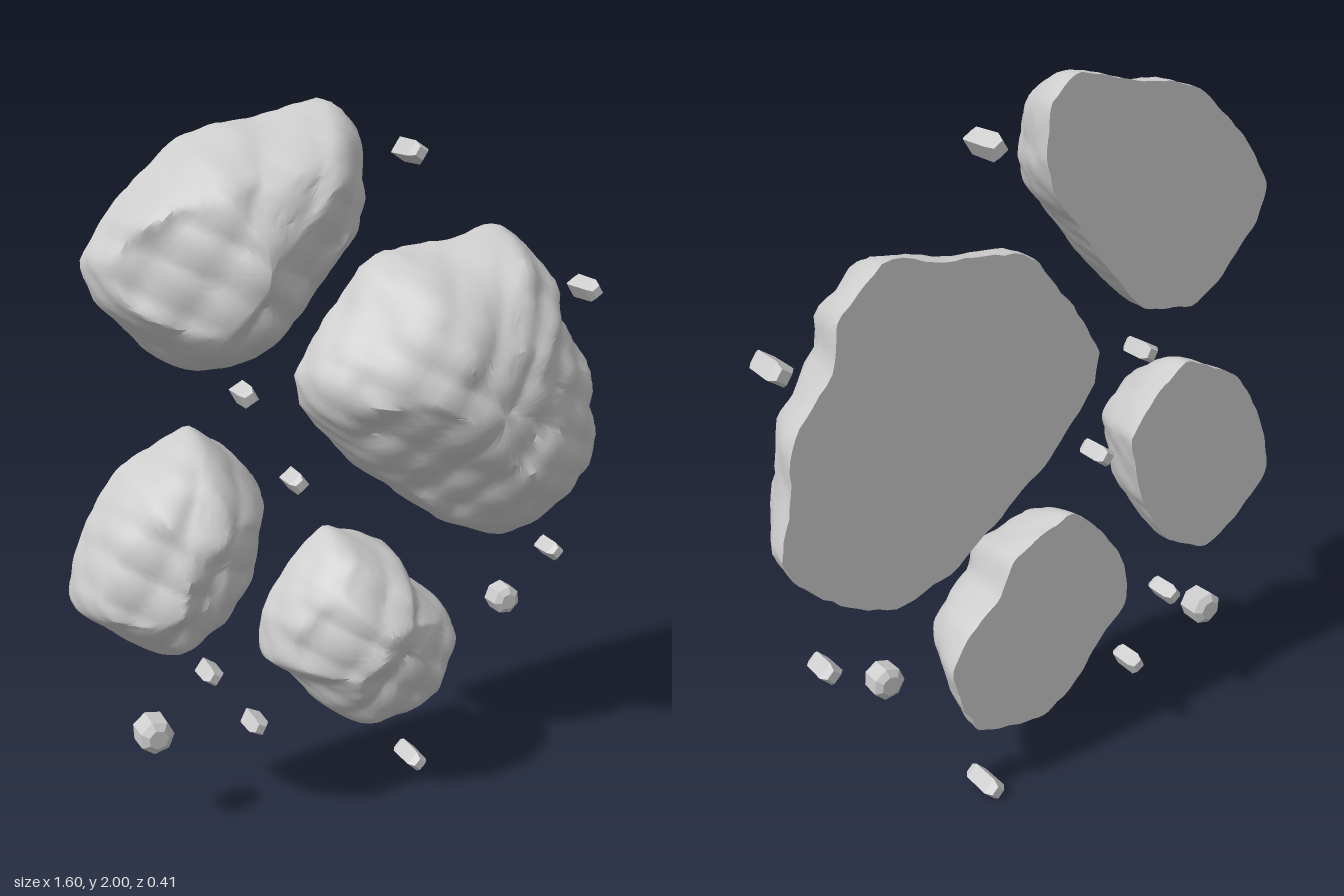
import * as THREE from 'three';
import { toCreasedNormals } from 'three/addons/utils/BufferGeometryUtils.js';

const BACK = -0.165;
const stone = new THREE.MeshStandardMaterial({ color: 0xcccccc });
stone.name = 'pale grey stone';

// Craggy bumps made from folded waves
function crag(x, y, s) {
  const fold = (v) => Math.abs(Math.sin(v)) - 0.64;
  return 0.016 * fold(9 * x + 5 * y + s) + 0.014 * fold(-7 * x + 10 * y + 2 * s)
    + 0.012 * fold(23 * x - 13 * y + s) + 0.01 * fold(15 * x + 27 * y + 3 * s);
}

// Half boulder: clockwise rim, and rings running from the flat back over the rim to the peak.
// Each facet [dz/dx, dz/dy, start] falls away from the peak, beginning at the start distance.
function rock(name, seed, [px, py, top], outline, facets) {
  const N = 100, M = 20, pos = [], index = [];
  const points = outline.map(([x, y]) => new THREE.Vector3(x, y, 0));
  const rim = new THREE.CatmullRomCurve3(points, true, 'catmullrom', 0.25).getSpacedPoints(N).slice(0, N);
  const facetZ = (x, y) => Math.min(top, ...facets.map(([dx, dy, start]) =>
    top + dx * (x - px) + dy * (y - py) + start * Math.hypot(dx, dy)));
  for (let j = -1; j <= M; j++) {
    const u = j < 0 ? 0 : (1 - j / M) * Math.PI / 2;
    const t = Math.sin(u);
    for (const p of rim) {
      const x = px + (p.x - px) * t;
      const y = py + (p.y - py) * t;
      let z = BACK;
      if (j > 0) {
        const wall = BACK + (top - BACK + 0.03) * Math.pow(Math.cos(u), 1.1);
        z = Math.max(BACK + 0.003 * j, Math.min(wall, facetZ(x, y)) + crag(x, y, seed) * Math.min(1, j / 5));
      }
      // Roughen the sides sideways as well
      const side = 1 + 1.1 * crag(1.4 * y + z, 1.4 * x - z, seed + 2) * t;
      pos.push(px + (x - px) * side, py + (y - py) * side, z);
    }
  }
  for (let j = 0; j <= M; j++) {
    for (let i = 0; i < N; i++) {
      const k = (i + 1) % N, a = j * N + i, b = j * N + k, c = a + N, d = b + N;
      if (j > 0) index.push(a, c, b);
      if (j < M) index.push(b, c, d);
    }
  }
  const geo = new THREE.BufferGeometry();
  geo.setAttribute('position', new THREE.Float32BufferAttribute(pos, 3));
  geo.setIndex(index);
  const mesh = new THREE.Mesh(toCreasedNormals(geo, 0.65), stone);
  mesh.name = name;
  return mesh;
}

// Faceted chip lying along z with bevelled ends
function pebble(x, y, r, z0, z1, sides, turn) {
  const bevel = (z1 - z0) * 0.16;
  const profile = [[0, z0], [r * 0.6, z0], [r, z0 + bevel], [r * 0.95, z1 - bevel], [r * 0.55, z1], [0, z1]];
  const geo = new THREE.LatheGeometry(profile.map(([a, b]) => new THREE.Vector2(a, b)), sides);
  const mesh = new THREE.Mesh(toCreasedNormals(geo.rotateX(Math.PI / 2), 0.3), stone);
  mesh.name = 'pebble';
  mesh.position.set(x, y, 0);
  mesh.rotation.z = turn;
  return mesh;
}

export function createModel() {
  const model = new THREE.Group();
  model.name = 'rockCluster';

  // Four boulders
  model.add(
    rock('upperRock', 0.4, [-0.36, 1.64, 0.2],
      [[-.71, 1.64], [-.65, 1.74], [-.57, 1.82], [-.47, 1.91], [-.35, 1.95], [-.26, 1.96], [-.07, 2], [.01, 1.94], [.03, 1.8],
        [-.01, 1.7], [-.09, 1.6], [-.2, 1.46], [-.3, 1.37], [-.47, 1.34], [-.56, 1.4], [-.68, 1.53]],
      [[0.1, -0.42, 0.03], [0.7, -0.1, 0], [-0.42, 0.1, 0.04], [-0.1, 0.5, 0.05]]),
    rock('largeRock', 2.1, [0.3, 1.2, 0.19],
      [[-.15, 1.28], [-.09, 1.38], [.04, 1.55], [.12, 1.6], [.3, 1.61], [.47, 1.64], [.6, 1.53], [.62, 1.42], [.74, 1.26],
        [.75, 1.13], [.79, .97], [.7, .83], [.48, .73], [.3, .79], [.12, .93], [.01, 1.02], [-.13, 1.19]],
      [[-0.75, -0.1, 0.18], [0.05, -0.7, 0.17], [0, 0.6, 0.17], [0.7, 0.8, 0.08], [0.8, -0.25, 0.18]]),
    rock('leftRock', 3.8, [-0.53, 0.86, 0.13],
      [[-.8, .8], [-.74, .97], [-.64, 1.1], [-.46, 1.18], [-.35, 1.1], [-.27, 1], [-.3, .87], [-.32, .79],
        [-.42, .64], [-.57, .57], [-.68, .63], [-.79, .73]],
      [[0.75, -0.15, 0.04], [-0.6, 0, 0.06], [0, 0.65, 0.08], [0.1, -0.55, 0.08]]),
    rock('lowerRock', 5.5, [0.02, 0.56, 0.13],
      [[-.27, .48], [-.26, .61], [-.16, .76], [-.06, .83], [.12, .75], [.17, .65], [.27, .57], [.32, .47],
        [.25, .26], [.01, .21], [-.11, .3], [-.18, .4]],
      [[0.1, -0.6, 0.04], [0.65, -0.1, 0.04], [-0.55, -0.05, 0.06], [0, 0.4, 0.03], [0, 1.1, 0.18]]));

  // Slim chips grouped by length, then two rounder stones
  const longChips = [[.18, 1.86], [.2, .04], [.76, 1.44]];
  const shortChips = [[-.3, 1.25], [-.16, .985], [.69, .63], [-.43, .46], [-.3, .27]];
  longChips.forEach(([x, y], i) => model.add(pebble(x, y, 0.034, -0.195, -0.065, 4, 0.2 - i * 0.2)));
  shortChips.forEach(([x, y], i) => model.add(pebble(x, y, 0.032, -0.2, -0.1, 4, i * 0.15 - 0.3)));
  model.add(pebble(.51, .51, 0.046, -0.165, -0.085, 7, 0.3), pebble(-.61, .33, 0.052, -0.165, -0.07, 7, 0.7));
  return model;
}
